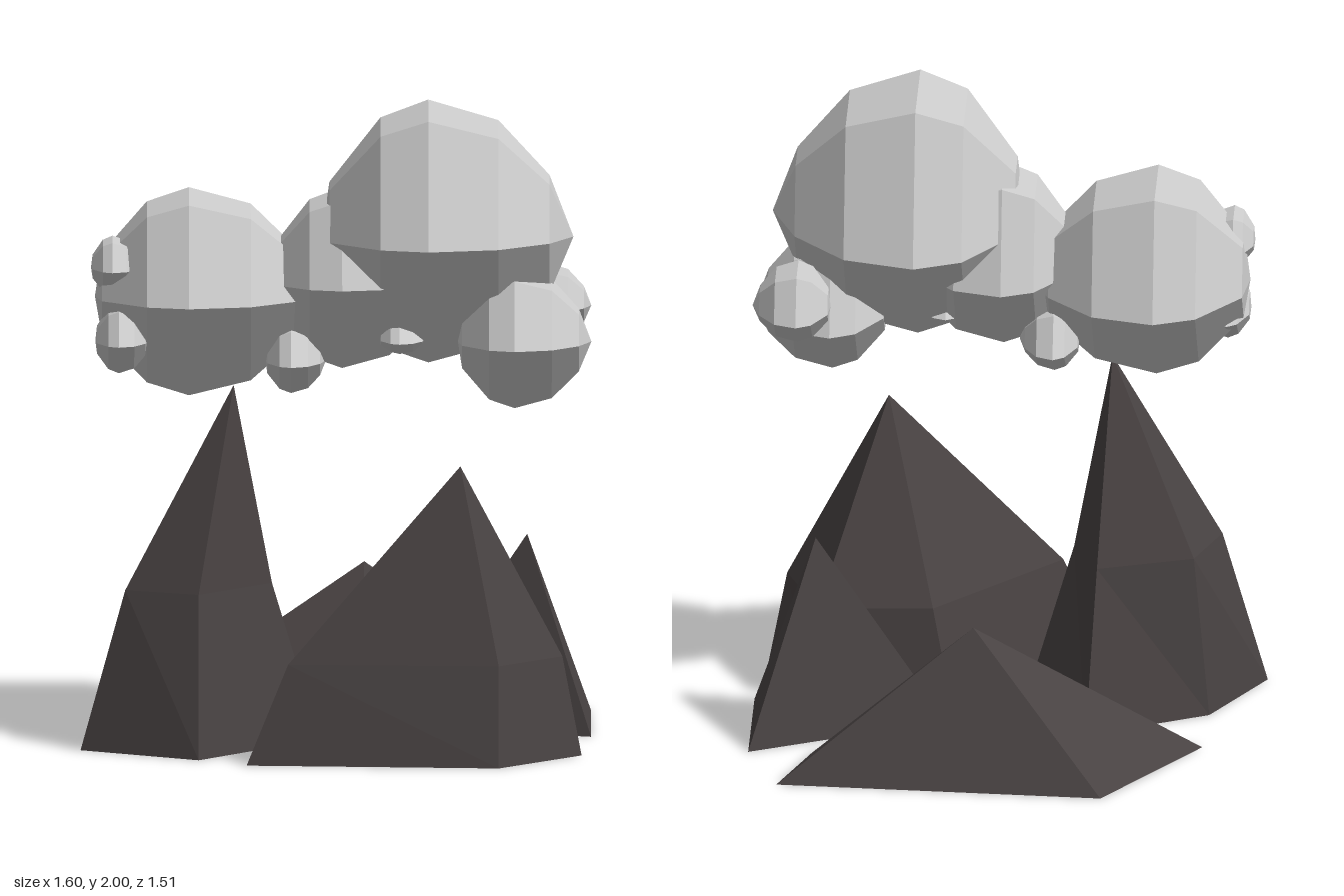
import * as THREE from 'three';

const cloudMaterial = new THREE.MeshStandardMaterial({ color: 0xcccccc, flatShading: true });
const rockMaterial = new THREE.MeshStandardMaterial({ color: 0x484242, flatShading: true, side: THREE.DoubleSide });

// Faceted skin over a list of closed cross-sections; a section may shrink to a point
function loft(sections) {
  const positions = [];
  const addTriangle = (...corners) => {
    const [a, b, c] = corners.map((p) => new THREE.Vector3(...p));
    if (new THREE.Triangle(a, b, c).getArea() > 1e-7) corners.forEach((p) => positions.push(...p));
  };
  for (let i = 0; i < sections.length - 1; i++) {
    const lower = sections[i], upper = sections[i + 1], n = lower.length;
    for (let j = 0; j < n; j++) {
      const k = (j + 1) % n;
      addTriangle(lower[j], upper[j], upper[k]);
      addTriangle(lower[j], upper[k], lower[k]);
    }
  }
  const geometry = new THREE.BufferGeometry();
  geometry.setAttribute('position', new THREE.Float32BufferAttribute(positions, 3));
  geometry.computeVertexNormals();
  return geometry;
}

// Five-sided puff lying along x: [z, y] outline scaled by an [x, radius] profile
const puffOutline = [[0.21, 0.4], [-0.21, 0.4], [-0.41, -0.05], [0, -0.4], [0.42, 0.02]];
const puffProfile = [[-0.335, 0], [-0.31, 0.4], [-0.15, 0.87], [0, 1], [0.22, 0.85], [0.38, 0.45], [0.455, 0]];
const puffGeometry = loft(puffProfile.map(([x, r]) => puffOutline.map(([z, y]) => [x, y * r, z * r])));

// Name, centre and scale of each puff
const puffs = [
  ['largePuff', [0.29, 1.6, 0.22], [1, 1, 1]],
  ['leftPuff', [-0.46, 1.405, 0.18], [0.88, 0.79, 0.83]],
  ['middlePuff', [0.02, 1.455, 0.2], [0.68, 0.69, 0.66]],
  ['lowPuff', [0.56, 1.275, 0.27], [0.53, 0.53, 0.63]],
  ['sidePuff', [0.66, 1.35, 0.03], [0.31, 0.3, 0.43]],
  ['undersidePuff', [-0.14, 1.2, 0.18], [0.24, 0.26, 0.42]],
  ['tinyUndersidePuff', [0.2, 1.28, 0.25], [0.19, 0.12, 0.3]],
  ['upperEndPuff', [-0.7, 1.51, 0.26], [0.2, 0.22, 0.34]],
  ['lowerEndPuff', [-0.68, 1.28, 0.28], [0.22, 0.26, 0.4]],
];

// Base and optional shoulder outlines are [x, z], clockwise from above
const mountains = [
  {
    name: 'tallMountain', apex: [-0.32, 1.13, 0.23],
    base: [[-0.8, 0.41], [-0.63, 0.06], [-0.25, -0.15], [-0.05, 0.21], [-0.43, 0.6]],
    shoulder: [[-0.66, 0.36], [-0.58, 0.11], [-0.28, 0.0], [-0.2, 0.22], [-0.43, 0.45]], shoulderHeight: 0.5,
  },
  {
    name: 'frontMountain', apex: [0.39, 0.91, 0.46],
    base: [[-0.28, 0.7], [0.18, 0.12], [0.62, 0.12], [0.77, 0.51], [0.51, 0.755]],
    shoulder: [[-0.15, 0.64], [0.24, 0.15], [0.6, 0.14], [0.71, 0.48], [0.51, 0.67]], shoulderHeight: 0.31,
  },
  {
    name: 'backMountain', apex: [0.09, 0.455, -0.45],
    base: [[-0.62, -0.25], [-0.32, -0.755], [0.7, -0.66], [0.6, -0.35], [0.09, -0.15]],
  },
  {
    name: 'smallMountain', apex: [0.6, 0.61, -0.05],
    base: [[0.19, -0.03], [0.8, -0.35], [0.8, 0.16]],
  },
];

export function createModel() {
  const model = new THREE.Group();

  // Cloud
  const cloud = new THREE.Group();
  cloud.name = 'cloud';
  for (const [name, centre, scale] of puffs) {
    const puff = new THREE.Mesh(puffGeometry, cloudMaterial);
    puff.name = name;
    puff.position.set(...centre);
    puff.scale.set(...scale);
    cloud.add(puff);
  }

  // Open-bottomed mountains
  const range = new THREE.Group();
  range.name = 'mountains';
  for (const { name, apex, base, shoulder, shoulderHeight } of mountains) {
    const sections = [base.map(([x, z]) => [x, 0, z])];
    if (shoulder) sections.push(shoulder.map(([x, z]) => [x, shoulderHeight, z]));
    sections.push(base.map(() => apex));
    const mountain = new THREE.Mesh(loft(sections), rockMaterial);
    mountain.name = name;
    range.add(mountain);
  }

  model.add(cloud, range);
  return model;
}
